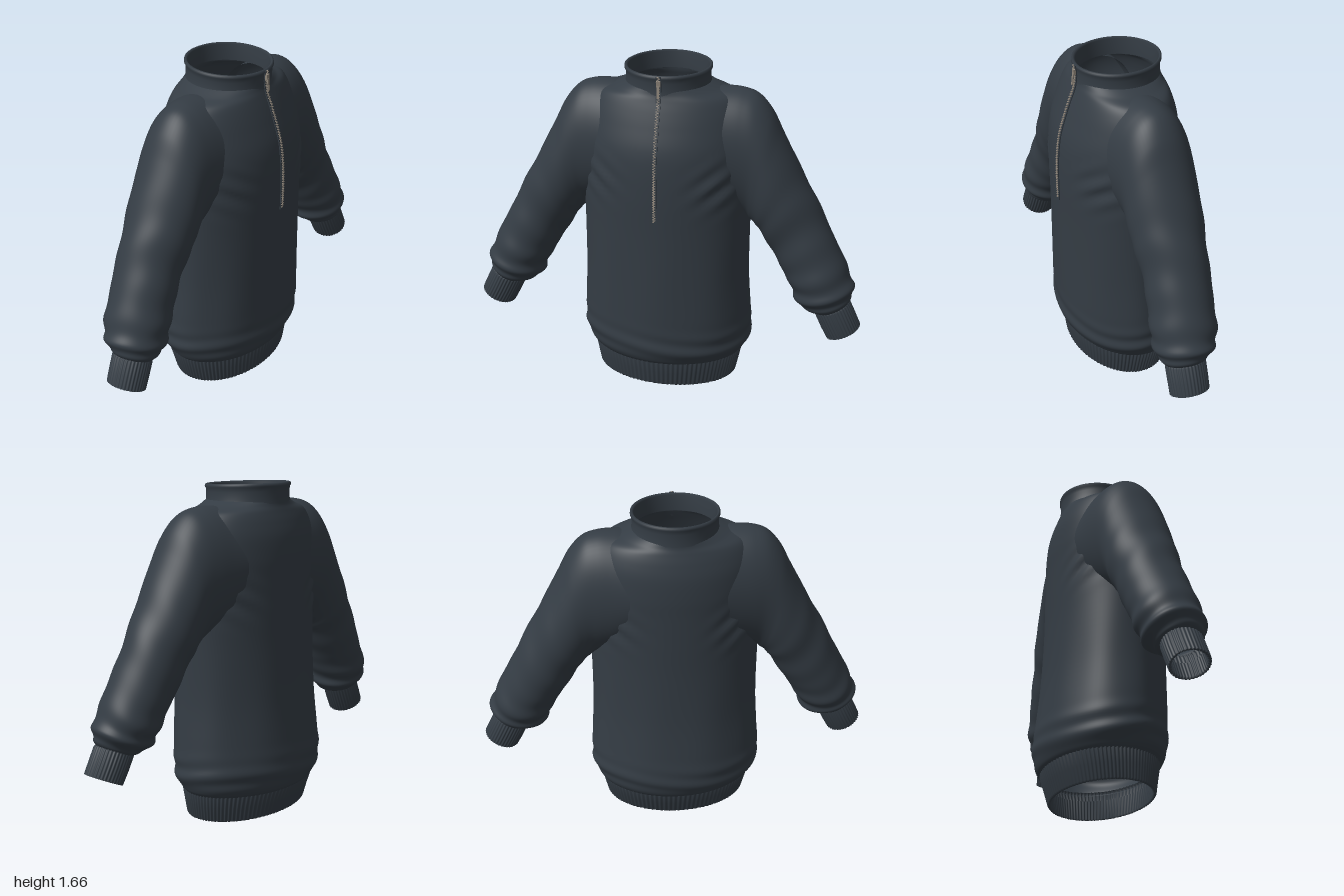
import * as THREE from 'three';
import { mergeGeometries } from 'three/addons/utils/BufferGeometryUtils.js';

// A ring is [ax, ay, bx, by, zFront, zBack]: an ellipse through points a and b in x-y, and two depths.
const flat = (y, half, zf, zb) => [half, y, -half, y, zf, zb];

// Smoothly resample a list of rings
function dense(rings, n) {
  const a = new THREE.CatmullRomCurve3(rings.map(r => new THREE.Vector3(r[0], r[1], r[4])), false, 'catmullrom');
  const b = new THREE.CatmullRomCurve3(rings.map(r => new THREE.Vector3(r[2], r[3], r[5])), false, 'catmullrom');
  return Array.from({ length: n + 1 }, (_, i) => {
    const p = a.getPoint(i / n), q = b.getPoint(i / n);
    return [p.x, p.y, q.x, q.y, p.z, q.z];
  });
}

// Skin a list of rings; swell(angle, t, x, y) scales each point away from the ring centre
function loft(rings, seg, swell = () => 0, side = 1, flip = false, tilt = 0) {
  const pos = [], idx = [];
  rings.forEach(([ax, ay, bx, by, zf, zb], i) => {
    const cx = (ax + bx) / 2, cy = (ay + by) / 2, cz = (zf + zb) / 2;
    for (let j = 0; j < seg; j++) {
      const a = j / seg * Math.PI * 2, c = Math.cos(a), s = Math.sin(a);
      const x = cx + (ax - bx) / 2 * c, y = cy + (ay - by) / 2 * c;
      const k = 1 + swell(a, i / (rings.length - 1), x, y);
      pos.push(side * (cx + (x - cx) * k), cy + (y - cy) * k - tilt * s, cz + (zf - zb) / 2 * s * k);
      if (i === rings.length - 1) continue;
      const p = i * seg + j, q = i * seg + (j + 1) % seg;
      if (flip) idx.push(p, q, p + seg, q, q + seg, p + seg);
      else idx.push(p, p + seg, q, q, p + seg, q + seg);
    }
  });
  const g = new THREE.BufferGeometry();
  g.setAttribute('position', new THREE.Float32BufferAttribute(pos, 3));
  g.setIndex(idx);
  g.computeVertexNormals();
  return g;
}

const bump = (v, centre, width) => Math.exp(-(((v - centre) / width) ** 2));

export function createModel() {
  const model = new THREE.Group();
  const fabric = new THREE.MeshStandardMaterial({ color: 0x343c44, side: THREE.DoubleSide });
  fabric.name = 'dark slate fabric';
  const metal = new THREE.MeshStandardMaterial({ color: 0x8c8378 });
  metal.name = 'zip metal';
  const add = (name, geo, mat = fabric) => {
    const m = new THREE.Mesh(geo, mat);
    m.name = name;
    model.add(m);
    return m;
  };

  // Torso from above the hem to the neckline, with soft folds at the armpits and waist
  const torso = [
    flat(0.135, 0.385, 0.26, -0.27), flat(0.16, 0.405, 0.28, -0.29), flat(0.21, 0.43, 0.3, -0.308),
    flat(0.29, 0.438, 0.304, -0.313), flat(0.4, 0.432, 0.305, -0.3), flat(0.6, 0.42, 0.305, -0.28),
    flat(0.85, 0.418, 0.305, -0.268), flat(1.05, 0.42, 0.307, -0.266), flat(1.2, 0.42, 0.302, -0.265),
    flat(1.3, 0.415, 0.288, -0.265), flat(1.4, 0.4, 0.257, -0.257), flat(1.47, 0.375, 0.232, -0.24),
    flat(1.52, 0.335, 0.212, -0.222), flat(1.547, 0.26, 0.202, -0.212), flat(1.57, 0.205, 0.197, -0.208),
  ];
  add('torso', loft(dense(torso, 110), 96, (a, t, x, y) =>
    0.022 * Math.sin(y * 55 - Math.abs(x) * 40) * bump(Math.abs(x), 0.28, 0.1) * bump(y, 1.12, 0.1)
    + 0.014 * Math.sin(y * 60 + 2 * Math.sin(a * 2)) * bump(y, 0.24, 0.08)
    + 0.006 * Math.sin(a * 9) * bump(y, 0.55, 0.3)));

  // Ribbed hem with a turned-in inner face
  const rib = n => a => 0.009 * Math.cos(a * n);
  add('hemBand', loft([
    flat(0.1, 0.352, 0.238, -0.235), flat(0.004, 0.345, 0.228, -0.218), flat(0, 0.355, 0.238, -0.226),
    flat(0.008, 0.362, 0.244, -0.233), flat(0.075, 0.376, 0.253, -0.253), flat(0.138, 0.389, 0.264, -0.275),
    flat(0.152, 0.38, 0.255, -0.265),
  ], 480, rib(96)));

  // Stand-up collar, rolled over at the rim, higher at the back
  add('collar', loft([
    flat(1.55, 0.212, 0.203, -0.212), flat(1.575, 0.205, 0.199, -0.209), flat(1.61, 0.204, 0.2, -0.209),
    flat(1.628, 0.206, 0.202, -0.211), flat(1.634, 0.211, 0.207, -0.216), flat(1.645, 0.21, 0.206, -0.215),
    flat(1.649, 0.202, 0.198, -0.207), flat(1.64, 0.194, 0.188, -0.2), flat(1.56, 0.192, 0.186, -0.199),
  ], 72, undefined, 1, false, 0.007));

  // Sleeves: rings fan around the armpit, then run down to gathered folds at the wrist
  const sleeve = [
    [0.22, 1.548, 0.24, 0.98, 0.215, -0.22], [0.29, 1.553, 0.3, 0.95, 0.2, -0.208],
    [0.37, 1.548, 0.36, 0.93, 0.188, -0.195], [0.44, 1.522, 0.4, 0.91, 0.182, -0.184],
    [0.505, 1.45, 0.42, 0.89, 0.182, -0.178], [0.56, 1.345, 0.435, 0.88, 0.184, -0.176],
    [0.625, 1.22, 0.452, 0.862, 0.183, -0.173], [0.69, 1.1, 0.478, 0.825, 0.176, -0.165],
    [0.758, 0.975, 0.525, 0.75, 0.167, -0.15], [0.825, 0.845, 0.572, 0.67, 0.17, -0.142],
    [0.89, 0.715, 0.615, 0.6, 0.182, -0.132], [0.938, 0.615, 0.648, 0.53, 0.186, -0.12],
    [0.95, 0.555, 0.675, 0.475, 0.178, -0.1], [0.935, 0.51, 0.73, 0.445, 0.158, -0.062],
    [0.925, 0.49, 0.775, 0.432, 0.143, -0.035],
  ];
  const folds = (a, t) =>
    0.045 * Math.sin(t * 62 + 1.6 * Math.sin(a) + 0.8 * Math.cos(2 * a)) * bump(t, 0.83, 0.13)
    + 0.02 * Math.sin(t * 48 + 2.5 * Math.sin(a)) * bump(t, 0.58, 0.14);
  const cuff = [
    [0.922, 0.505, 0.765, 0.44, 0.142, -0.032], [0.938, 0.497, 0.768, 0.428, 0.15, -0.04],
    [0.968, 0.435, 0.8, 0.362, 0.152, -0.037], [0.995, 0.378, 0.832, 0.303, 0.154, -0.032],
    [0.991, 0.374, 0.836, 0.302, 0.149, -0.027], [0.98, 0.375, 0.842, 0.312, 0.14, -0.018],
    [0.945, 0.45, 0.805, 0.39, 0.138, -0.02],
  ];
  for (const [name, side] of [['left', 1], ['right', -1]]) {
    add(name + 'Sleeve', loft(dense(sleeve, 130), 64, folds, side, side > 0));
    add(name + 'Cuff', loft(cuff, 216, a => 0.02 * Math.cos(a * 36), side, side > 0));
  }

  // Zip path follows the chest and the collar front
  const zip = new THREE.CatmullRomCurve3([
    [0.955, 0.308], [1.08, 0.309], [1.2, 0.304], [1.3, 0.29], [1.4, 0.259],
    [1.47, 0.234], [1.52, 0.214], [1.57, 0.204], [1.61, 0.204], [1.638, 0.209],
  ].map(([y, z]) => new THREE.Vector3(0, y, z)));
  const onZip = (geo, t, x, lift) => {
    const p = zip.getPointAt(t), d = zip.getTangentAt(t);
    return geo.rotateX(Math.atan2(d.z, d.y)).translate(x, p.y - d.z * lift, p.z + d.y * lift);
  };
  const teeth = [], tape = [], count = 110;
  for (let i = 0; i <= count; i++) {
    const t = i / count;
    teeth.push(onZip(new THREE.BoxGeometry(0.009, 0.004, 0.007), t, i % 2 ? 0.003 : -0.003, 0.005));
    if (i % 4 === 0) tape.push(onZip(new THREE.BoxGeometry(0.024, 0.028, 0.005), t, 0, 0.001));
  }
  add('zipTeeth', mergeGeometries(teeth), metal);
  add('zipTape', mergeGeometries(tape));

  // Slider and hanging pull tab
  add('zipSlider', onZip(new THREE.BoxGeometry(0.02, 0.026, 0.012), 0.955, 0, 0.008), metal);
  add('zipPull', onZip(new THREE.BoxGeometry(0.012, 0.06, 0.005), 0.9, 0, 0.016), metal);
  return model;
}
